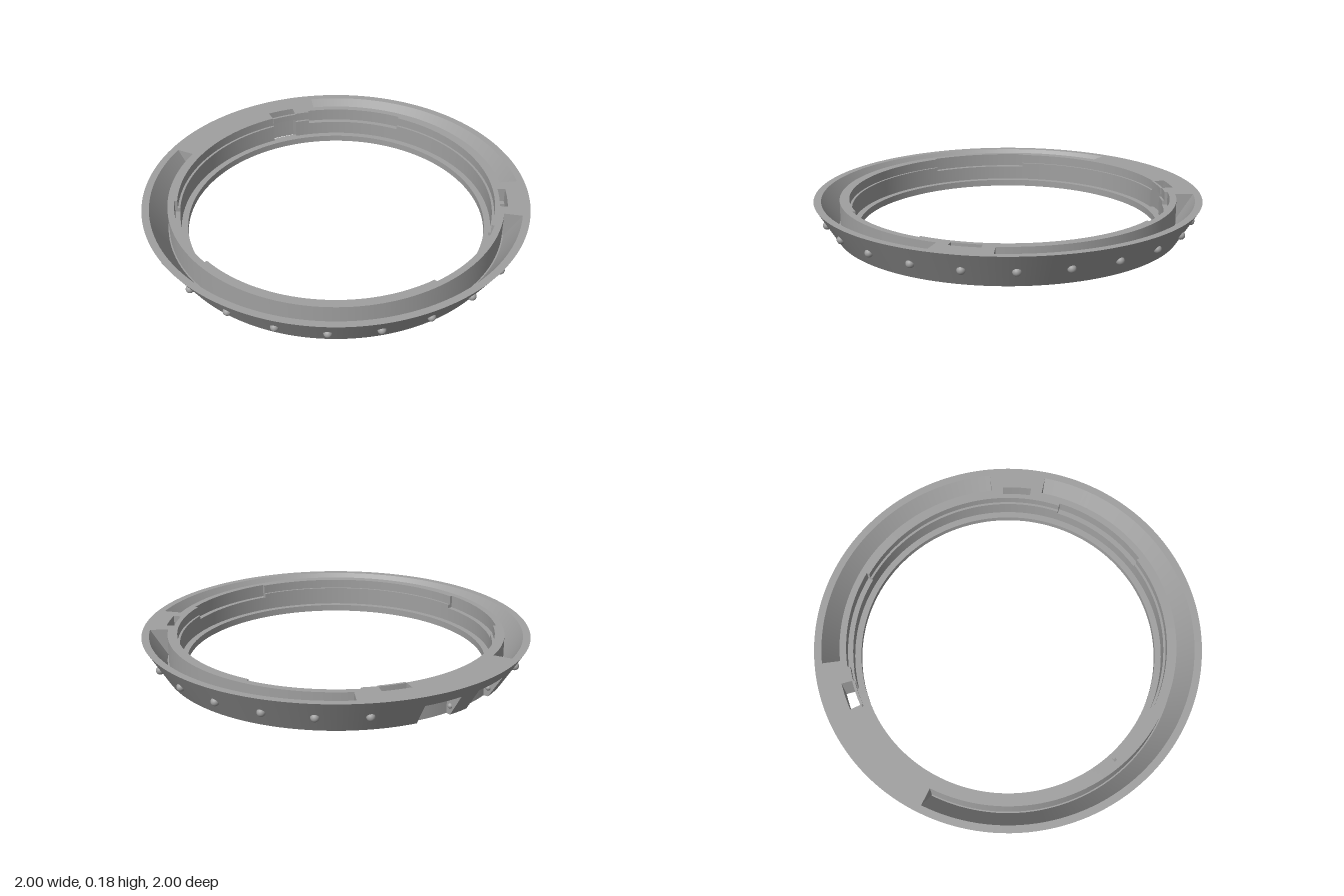
import * as THREE from 'three';

const H = 0.178;                                  // ring height
const RAD = Math.PI / 180;
const coneR = y => 0.89 + 0.11 * y / H;           // outer flared surface
const within = (a, ranges) => ranges.some(([s, e]) => a > s && a < e);

// Angular ranges in degrees, measured from +z towards +x
const GROOVES = [[-158, 36], [54, 146]];
const BAYONET = [[-128.5, -91.5], [-8.5, 28.5], [111.5, 148.5]];
const NOTCHES = [[165, 177], [184, 196]];
const UNDER_POCKET = [[-3.5, 3.5]];
const BACK_SLOT = [[154, 163.5]];
const FRONT_SLOT = [[41.8, 48.2]];
const FRONT_RECESS = [[40, 50]];

// Closed (radius, height) outlines, counter-clockwise, for one sector
function profilesAt(a) {
  const inner = within(a, BAYONET)
    ? [[0.835, H], [0.835, 0.11], [0.808, 0.11], [0.808, 0.035], [0.775, 0.035]]
    : [[0.82, H], [0.82, 0.13], [0.808, 0.13], [0.808, 0.035], [0.775, 0.035]];
  if (within(a, BACK_SLOT)) {
    return [
      [[0.775, 0], [0.825, 0], [0.825, 0.035], [0.775, 0.035]],
      [[0.812, 0.145], [0.825, 0.145], [0.825, H], [0.812, H]],
      [[0.88, 0], [0.89, 0], [1, H], [0.88, H]],
    ];
  }
  if (within(a, FRONT_SLOT)) {
    return [
      [[0.775, 0], [0.845, 0], [0.845, H], ...inner],
      [[0.885, 0], [0.89, 0], [1, H], [0.885, H]],
    ];
  }
  const bottom = [[0.775, 0]];
  if (within(a, UNDER_POCKET)) bottom.push([0.835, 0], [0.835, 0.02], [0.865, 0.02], [0.865, 0]);
  if (within(a, NOTCHES)) bottom.push([0.865, 0], [0.865, 0.08], [0.9, 0.115], [coneR(0.115), 0.115]);
  else bottom.push([0.89, 0]);
  const top = [[1, H]];
  if (within(a, GROOVES)) top.push([0.962, H], [0.876, 0.04], [0.869, 0.04], [0.869, H]);
  if (within(a, FRONT_RECESS)) top.push([0.885, H], [0.885, 0.1], [0.845, 0.1], [0.845, H]);
  return [[...bottom, ...top, ...inner]];
}

// Sweep an outline around y from a0 to a1: sharp profile edges, smooth around the ring
function addSweep(out, outline, a0, a1) {
  const put = ([r, y], a, nr, ny, na = 0) => {
    const s = Math.sin(a * RAD), c = Math.cos(a * RAD);
    out.pos.push(r * s, y, r * c);
    out.nor.push(nr * s + na * c, ny, nr * c - na * s);
  };
  const steps = Math.ceil((a1 - a0) / 2.5);
  outline.forEach((p, i) => {
    const q = outline[(i + 1) % outline.length];
    const len = Math.hypot(q[0] - p[0], q[1] - p[1]);
    const nr = (q[1] - p[1]) / len, ny = (p[0] - q[0]) / len;
    for (let k = 0; k < steps; k++) {
      const s = a0 + (a1 - a0) * k / steps, e = a0 + (a1 - a0) * (k + 1) / steps;
      for (const [pt, ang] of [[p, s], [p, e], [q, e], [p, s], [q, e], [q, s]]) put(pt, ang, nr, ny);
    }
  });
  // End faces
  const tris = THREE.ShapeUtils.triangulateShape(outline.map(p => new THREE.Vector2(...p)), []);
  for (const [i, j, k] of tris) {
    for (const n of [i, j, k]) put(outline[n], a0, 0, 0, -1);
    for (const n of [k, j, i]) put(outline[n], a1, 0, 0, 1);
  }
}

function ringGeometry() {
  const all = [GROOVES, BAYONET, NOTCHES, UNDER_POCKET, BACK_SLOT, FRONT_SLOT, FRONT_RECESS].flat(2);
  const cuts = [...new Set([...all, -158, 202])].sort((a, b) => a - b);
  const out = { pos: [], nor: [] };
  for (let i = 0; i < cuts.length - 1; i++) {
    for (const outline of profilesAt((cuts[i] + cuts[i + 1]) / 2)) addSweep(out, outline, cuts[i], cuts[i + 1]);
  }
  const g = new THREE.BufferGeometry();
  g.setAttribute('position', new THREE.Float32BufferAttribute(out.pos, 3));
  g.setAttribute('normal', new THREE.Float32BufferAttribute(out.nor, 3));
  return g;
}

export function createModel() {
  const model = new THREE.Group();
  model.name = 'mountingRing';
  const grey = new THREE.MeshStandardMaterial({ color: 0xa0a0a0 });
  grey.name = 'grey';

  const ring = new THREE.Mesh(ringGeometry(), grey);
  ring.name = 'ringBody';
  model.add(ring);

  const ball = new THREE.SphereGeometry(1, 20, 12);
  const addBall = (name, a, r, y, size, flat = 1) => {
    const m = new THREE.Mesh(ball, grey);
    m.name = name;
    m.position.set(r * Math.sin(a * RAD), y, r * Math.cos(a * RAD));
    m.scale.set(size, size * flat, size);
    model.add(m);
  };

  // Grip studs around the flared side, leaving out the notched back
  for (let a = 0; a < 360; a += 15) {
    if (a < 160 || a > 200) addBall('gripStud', a, coneR(0.088), 0.088, 0.021);
  }
  // Detents on the notch side walls
  for (const [, end] of NOTCHES) addBall('notchDetent', end, 0.889, 0.045, 0.013);
  // Low feet under the ring
  for (const a of [70, 290]) addBall('foot', a, 0.85, 0, 0.02, 0.15);

  for (const m of model.children) m.position.y += 0.003;
  return model;
}
